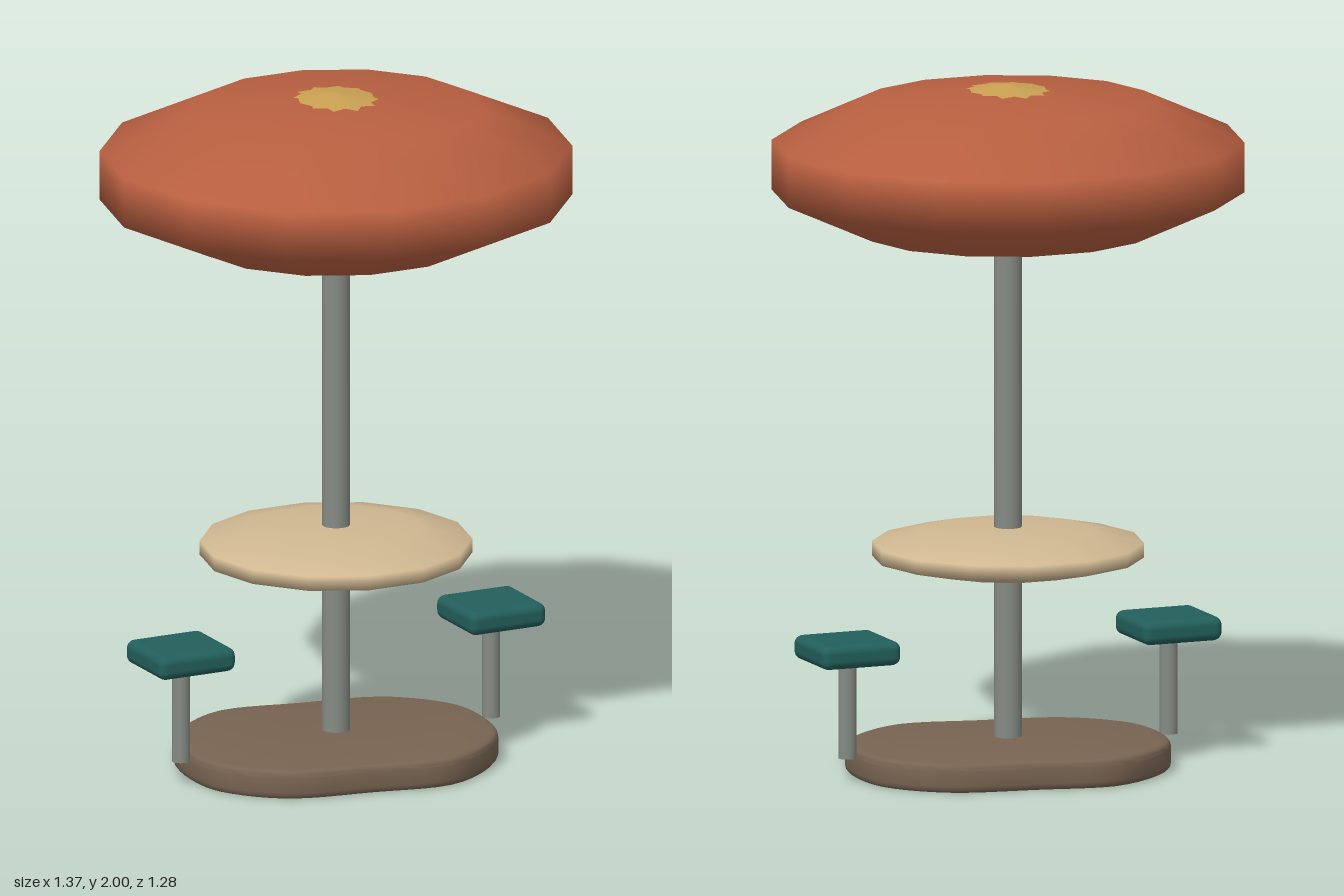
import * as THREE from 'three';
import { toCreasedNormals } from 'three/addons/utils/BufferGeometryUtils.js';
import { RoundedBoxGeometry } from 'three/addons/geometries/RoundedBoxGeometry.js';

function material(name, color) {
  const m = new THREE.MeshStandardMaterial({ color });
  m.name = name;
  return m;
}

export function createModel() {
  const group = new THREE.Group();
  const terracotta = material('terracotta', 0xb85f40);
  const gold = material('gold', 0xc9a052);
  const cream = material('cream', 0xcfb791);
  const steel = material('steel', 0x868b84);
  const teal = material('teal', 0x225f5b);
  const brown = material('brown', 0x786452);

  function add(name, geometry, mat, x, y, z = 0, parent = group) {
    const mesh = new THREE.Mesh(geometry, mat);
    mesh.name = name;
    mesh.position.set(x, y, z);
    parent.add(mesh);
    return mesh;
  }

  // Flattened, coarsely divided ellipsoid
  const lens = (rx, ry, rz) => new THREE.SphereGeometry(1, 14, 5).scale(rx, ry, rz);

  // Canopy and its cap
  add('canopy', lens(0.718, 0.235, 0.691), terracotta, 0, 1.76);
  add('canopyCap', new THREE.ConeGeometry(0.2, 0.03, 12), gold, 0, 1.985);

  // Central pole and table
  add('pole', new THREE.CylinderGeometry(0.04, 0.04, 1.502, 20), steel, 0, 0.849);
  add('tableTop', lens(0.412, 0.068, 0.406), cream, 0, 0.643);

  // Base slab: a soft outline with half-turn symmetry
  const half = [[0.465, 0], [0.42, 0.2], [0.2, 0.372], [-0.05, 0.34], [-0.3, 0.285], [-0.44, 0.14]];
  const outline = [...half, ...half.map(([x, z]) => [-x, -z])]
    .map(([x, z]) => new THREE.Vector3(x, z, 0));
  const curve = new THREE.CatmullRomCurve3(outline, true, 'centripetal');
  const shape = new THREE.Shape(curve.getPoints(64).slice(0, -1).map(p => new THREE.Vector2(p.x, p.y)));
  const slab = new THREE.ExtrudeGeometry(shape, {
    depth: 0.045, bevelEnabled: true, bevelThickness: 0.02, bevelSize: 0.016,
    bevelOffset: -0.016, bevelSegments: 3,
  });
  slab.rotateX(Math.PI / 2);
  add('base', toCreasedNormals(slab, 0.6), brown, 0, 0.065);

  // Pair of stools
  for (const side of [-1, 1]) {
    const stool = new THREE.Group();
    stool.name = side > 0 ? 'leftStool' : 'rightStool';
    stool.position.x = side * 0.5;
    group.add(stool);
    add('seat', new RoundedBoxGeometry(0.246, 0.07, 0.236, 4, 0.025), teal, 0, 0.385, 0, stool);
    add('seatPost', new THREE.CylinderGeometry(0.026, 0.026, 0.29, 16), steel, 0, 0.215, 0, stool);
  }
  return group;
}
